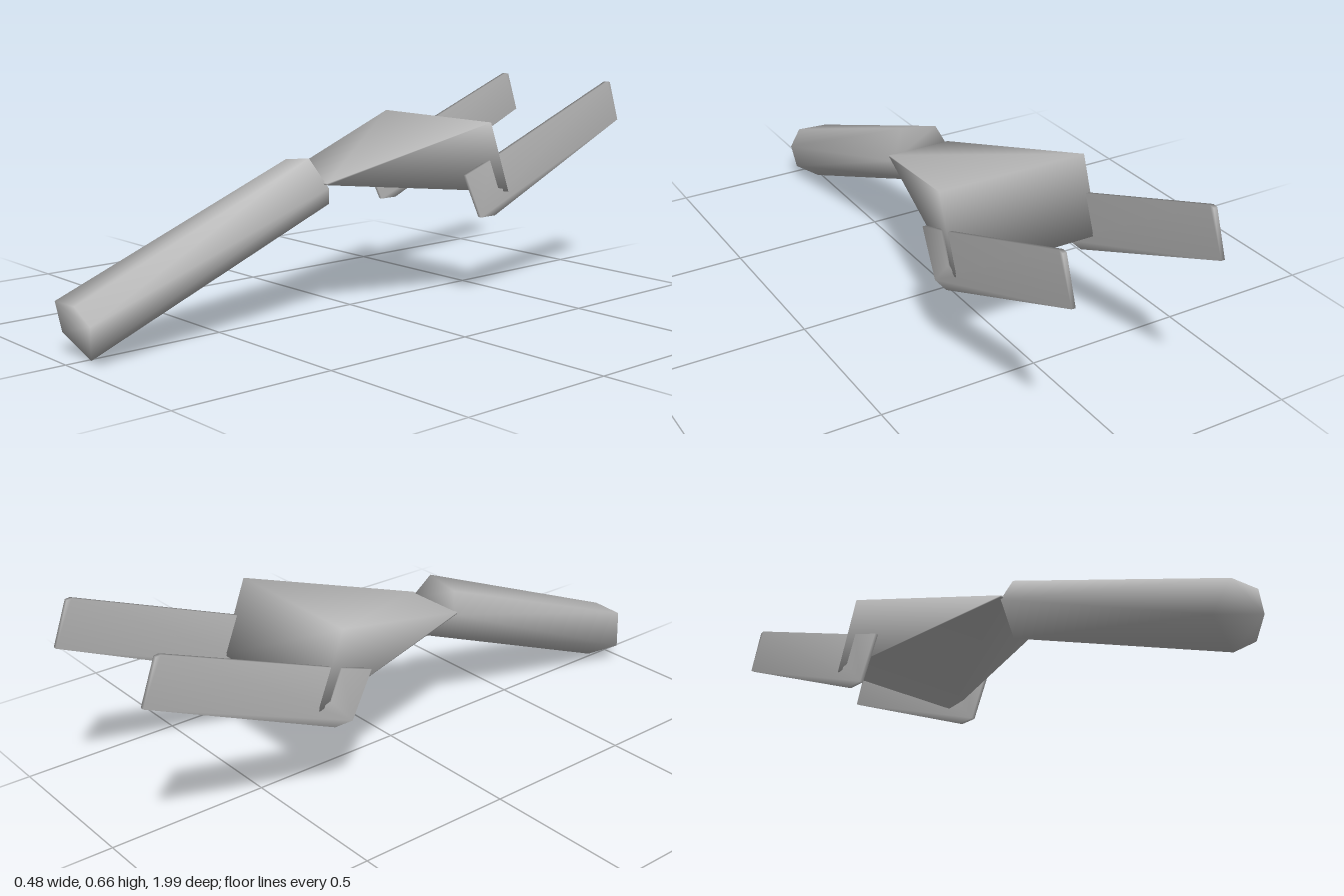
import * as THREE from 'three';
import { mergeVertices } from 'three/addons/utils/BufferGeometryUtils.js';

// Closed solid between two matching rings, both counter-clockwise seen from the front.
function loft(front, back) {
  const n = front.length;
  const index = [];
  for (let i = 0; i < n; i++) {
    const j = (i + 1) % n;
    index.push(i, n + i, n + j, i, n + j, j);
    if (i > 0 && i < n - 1) index.push(0, i, i + 1, n, n + i + 1, n + i);
  }
  const g = new THREE.BufferGeometry();
  g.setAttribute('position', new THREE.Float32BufferAttribute([...front, ...back].flat(), 3));
  g.setIndex(index);
  g.computeVertexNormals();
  return g;
}

// Welds a geometry so its shading runs smoothly over every edge.
function weld(g) {
  g.deleteAttribute('normal');
  g.deleteAttribute('uv');
  const merged = mergeVertices(g, 1e-4);
  merged.computeVertexNormals();
  return merged;
}

export function createModel() {
  const model = new THREE.Group();
  const grey = new THREE.MeshStandardMaterial({ color: 0xb8b8b8 });
  grey.name = 'grey';

  const add = (name, geometry) => {
    const mesh = new THREE.Mesh(geometry, grey);
    mesh.name = name;
    model.add(mesh);
    return mesh;
  };

  // Handle: uneven six-sided bar sloping down to the front
  const section = (y, z, degrees) => degrees.map((d) => {
    const a = THREE.MathUtils.degToRad(d);
    const v = 0.097 * Math.sin(a);
    return [0.098 * Math.cos(a), y + 0.93 * v, z + 0.37 * v];
  });
  add('handle', loft(
    section(0.092, 0.965, [18, 60, 125, 197, 277, 332]),
    section(0.408, 0.17, [-5, 61, 136, 180, 262, 318]),
  ));

  // Body: wedge widening from a thin nose to a tall leaning rear wall
  const rect = (w, yTop, zTop, yBottom, zBottom) => [
    [w, yBottom, zBottom], [w, yTop, zTop], [-w, yTop, zTop], [-w, yBottom, zBottom],
  ];
  add('body', loft(
    rect(0.105, 0.416, 0.18, 0.411, 0.178),
    rect(0.24, 0.566, -0.37, 0.34, -0.455),
  ));

  // Prongs: thin blades, each with a slot that holds the rear wall (u runs backwards)
  const outline = [
    [0.337, 0.27], [0.40, 0.27], [0.997, 0.528], [0.95, 0.658], [0.935, 0.66],
    [0.41, 0.46], [0.455, 0.347], [0.412, 0.355], [0.373, 0.446], [0.267, 0.41],
  ].map(([u, y]) => new THREE.Vector2(u, y));
  const blade = new THREE.ExtrudeGeometry(new THREE.Shape(outline), { depth: 0.012, bevelEnabled: false });
  blade.translate(0, 0, -0.006);
  blade.rotateY(Math.PI / 2);
  const prong = weld(blade);
  for (const [name, x] of [['leftProng', 0.23], ['rightProng', -0.23]]) {
    add(name, prong).position.x = x;
  }

  return model;
}
